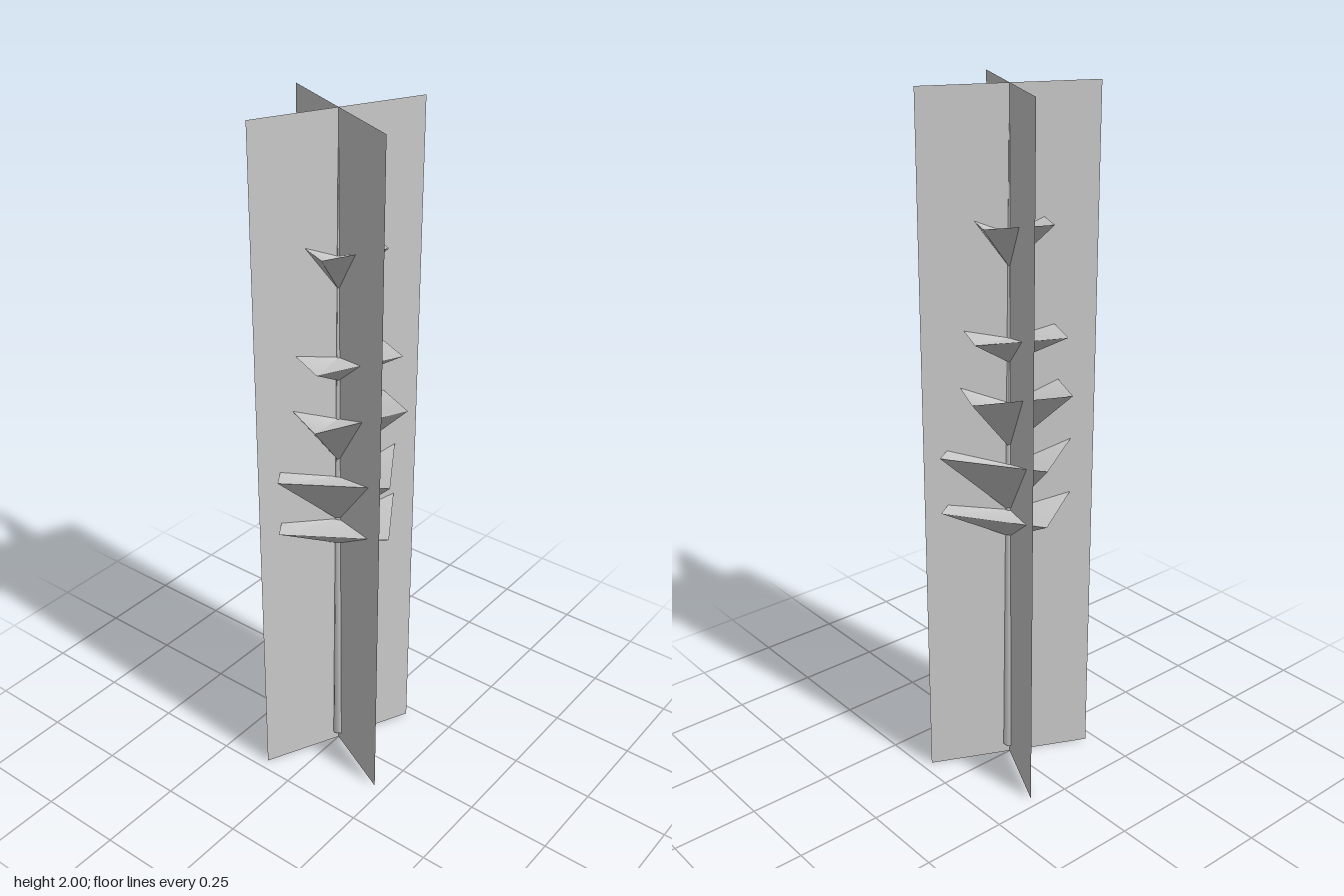
import * as THREE from 'three';

export function createModel() {
  const group = new THREE.Group();
  const paleGrey = new THREE.MeshStandardMaterial({ color: 0xcccccc, side: THREE.DoubleSide });
  paleGrey.name = 'paleGrey';

  const add = (name, geometry) => {
    const mesh = new THREE.Mesh(geometry, paleGrey);
    mesh.name = name;
    group.add(mesh);
    return mesh;
  };

  // Two tall upright cards crossing at right angles
  for (let i = 0; i < 2; i++) {
    const card = add('crossCard', new THREE.PlaneGeometry(0.487, 2));
    card.position.y = 1;
    card.rotation.y = -0.445 + i * Math.PI / 2;
  }

  // Slender tapering trunk
  const trunk = add('trunk', new THREE.CylinderGeometry(0.002, 0.021, 1.87, 5));
  trunk.position.y = 0.03 + 1.87 / 2;

  // Foliage tiers: square, apex-down pyramids with a dished top
  // [rim height, apex height, corner radius, turn]
  const tiers = [
    [1.655, 1.525, 0.134, 0.342],
    [1.36, 1.26, 0.178, 0.342],
    [1.20, 1.01, 0.195, 0.342],
    [1.02, 0.815, 0.214, -0.212],
    [0.855, 0.735, 0.214, -0.212],
  ];
  for (const [rim, apex, radius, turn] of tiers) {
    const dish = rim - (rim - apex) * 0.3;
    const under = [new THREE.Vector2(0, apex), new THREE.Vector2(radius, rim)];
    const upper = [new THREE.Vector2(radius, rim), new THREE.Vector2(0, dish)];
    add('foliageUnderside', new THREE.LatheGeometry(under, 4, turn));
    add('foliageTop', new THREE.LatheGeometry(upper, 4, turn));
  }

  // Small leaf low on the trunk
  const leafShape = new THREE.Shape([
    new THREE.Vector2(0.005, 0.375),
    new THREE.Vector2(0.04, 0.33),
    new THREE.Vector2(0.03, 0.21),
    new THREE.Vector2(0.008, 0.24),
  ]);
  const leaf = add('lowLeaf', new THREE.ShapeGeometry(leafShape));
  leaf.rotation.y = 0.34;

  return group;
}
